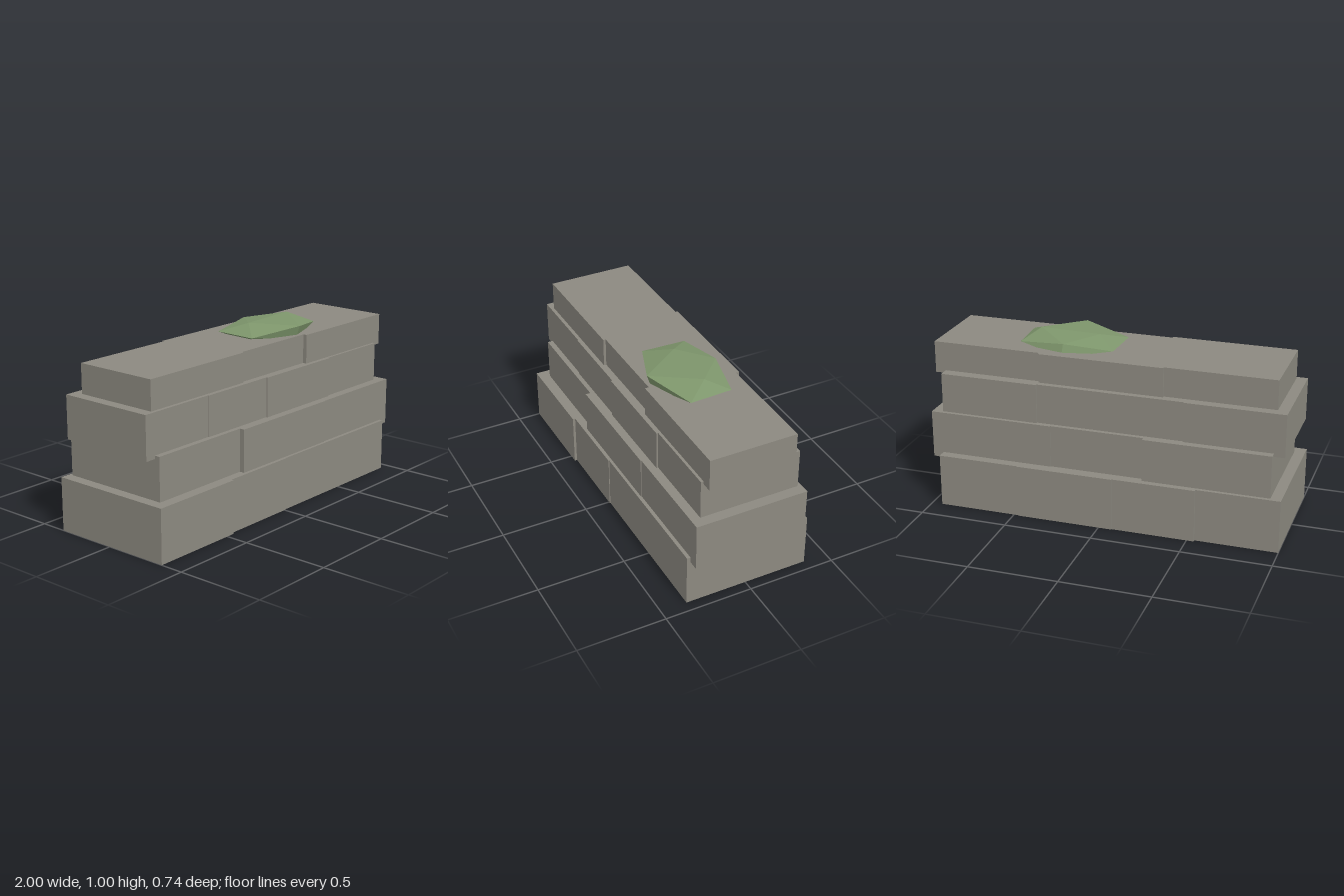
import * as THREE from 'three';
import { ConvexGeometry } from 'three/addons/geometries/ConvexGeometry.js';

// Each course: bottom, top, then stones [x0, x1, depth] along the front and the back.
const COURSES = [
  { y0: 0, y1: 0.3,
    front: [[-1, -0.45, 0.369], [-0.45, 0.01, 0.355], [0.01, 0.94, 0.351]],
    back: [[-1, -0.54, 0.35], [-0.54, -0.075, 0.364], [-0.075, 0.475, 0.369], [0.475, 0.94, 0.364]] },
  { y0: 0.27, y1: 0.54,
    front: [[-0.94, -0.325, 0.307], [-0.325, 0.38, 0.335], [0.38, 1, 0.331]],
    back: [[-0.94, -0.235, 0.33], [-0.235, 0.295, 0.305], [0.295, 1, 0.31]] },
  { y0: 0.522, y1: 0.763,
    front: [[-1, -0.54, 0.276], [-0.54, -0.075, 0.281], [-0.075, 0.475, 0.289], [0.475, 0.94, 0.279]],
    back: [[-1, -0.45, 0.289], [-0.45, 0.01, 0.281], [0.01, 0.38, 0.28], [0.38, 0.94, 0.289]] },
  { y0: 0.747, y1: 0.927,
    front: [[-0.94, -0.235, 0.256], [-0.235, 0.295, 0.242], [0.295, 1, 0.264]],
    back: [[-0.94, -0.325, 0.235], [-0.325, 0.38, 0.248], [0.38, 1, 0.228]] },
];

export function createModel() {
  const model = new THREE.Group();
  model.name = 'dryStoneWall';

  const stone = new THREE.MeshStandardMaterial({ color: 0x8c8980 });
  stone.name = 'greyStone';
  const moss = new THREE.MeshStandardMaterial({ color: 0x7d956b });
  moss.name = 'mossGreen';

  // Stones run from the centre plane of the wall out to their own depth
  COURSES.forEach(({ y0, y1, front, back }, i) => {
    const course = new THREE.Group();
    course.name = `course${i + 1}`;
    const lay = (stones, side, label) => stones.forEach(([x0, x1, depth], j) => {
      const block = new THREE.Mesh(new THREE.BoxGeometry(x1 - x0, y1 - y0, depth), stone);
      block.position.set((x0 + x1) / 2, (y0 + y1) / 2, side * depth / 2);
      block.name = `${label}Stone${j + 1}`;
      course.add(block);
    });
    lay(front, 1, 'front');
    lay(back, -1, 'back');
    model.add(course);
  });

  // Faceted moss clump, sunk halfway into the top course
  const points = [
    [0.11, 0.989, 0], [0.45, 0.996, 0],
    [0.265, 0.979, 0.238], [0.265, 0.97, -0.168],
    [-0.015, 0.942, 0.128], [0.542, 0.942, 0.125],
    [-0.005, 0.942, -0.122], [0.53, 0.942, -0.118],
    [0.265, 0.905, 0.213], [0.265, 0.905, -0.197],
    [0.1, 0.885, 0], [0.43, 0.885, 0],
  ].map((p) => new THREE.Vector3(...p));
  const clump = new THREE.Mesh(new ConvexGeometry(points), moss);
  clump.name = 'mossClump';
  model.add(clump);

  return model;
}
